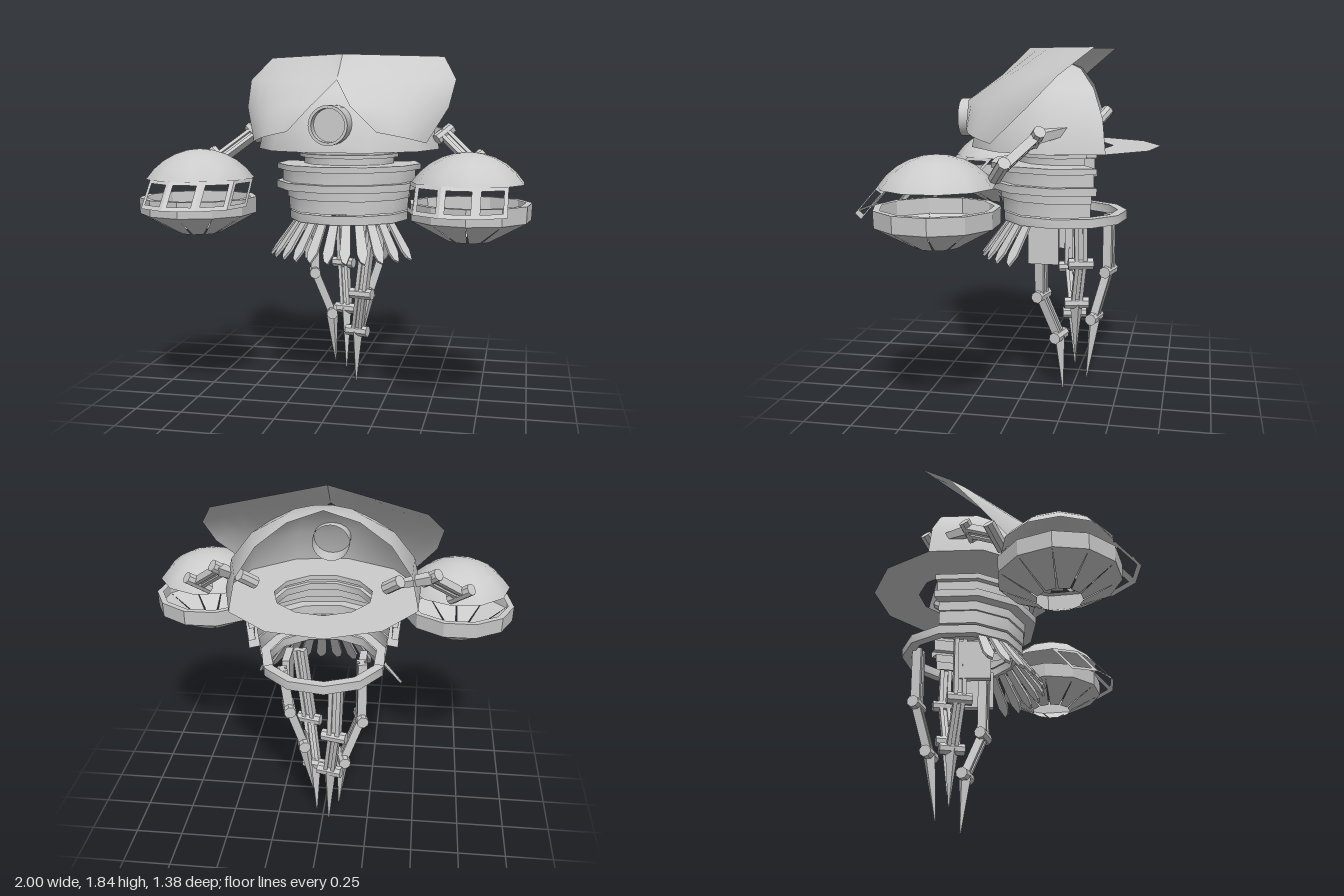
import * as THREE from 'three';
import { toCreasedNormals } from 'three/addons/utils/BufferGeometryUtils.js';

const SIDES = 11, STEP = (Math.PI * 2) / SIDES;
const BACK = -0.2; // z of the body axis
const OPEN_START = -1.885; // shell of 7 sides, open at the rear
const mat = new THREE.MeshStandardMaterial({ color: 0xcccccc, side: THREE.DoubleSide });
const flat = new THREE.MeshStandardMaterial({ color: 0xcccccc, side: THREE.DoubleSide, flatShading: true });
const V = (x, y, z) => new THREE.Vector3(x, y, z);

function add(parent, name, geo, material = mat) {
  const m = new THREE.Mesh(geo, material);
  m.name = name;
  parent.add(m);
  return m;
}

// Revolved profile of [radius, y] points
function lathe(profile, sides = SIDES, start = OPEN_START) {
  const pts = profile.map(p => new THREE.Vector2(p[0], p[1]));
  return toCreasedNormals(new THREE.LatheGeometry(pts, sides, start, sides * STEP), 0.7);
}

// Surface through rows of points, all rows of equal length
function loft(rows) {
  const n = rows[0].length, idx = [];
  for (let i = 0; i < rows.length - 1; i++)
    for (let j = 0; j < n - 1; j++) {
      const a = i * n + j;
      idx.push(a, a + n, a + 1, a + 1, a + n, a + n + 1);
    }
  const g = new THREE.BufferGeometry().setFromPoints(rows.flat());
  g.setIndex(idx);
  g.computeVertexNormals();
  return g;
}

// Places a y-aligned object between two points, its x side turned to the axis
function span(object, a, b, axis) {
  const y = b.clone().sub(a).normalize();
  const x = axis.clone().addScaledVector(y, -axis.dot(y)).normalize();
  object.quaternion.setFromRotationMatrix(new THREE.Matrix4().makeBasis(x, y, x.clone().cross(y)));
  object.position.copy(a).lerp(b, 0.5);
}

// Grooved bar: two rails joined by a thinner web
function bar(parent, name, a, b, axis, w = 0.065) {
  const g = new THREE.Group();
  g.name = name;
  for (const s of [-1, 0, 1])
    add(g, s ? 'rail' : 'web', new THREE.BoxGeometry(w * 0.34, a.distanceTo(b), w * (s ? 0.75 : 0.4)), flat).position.x = s * w * 0.33;
  span(g, a, b, axis);
  parent.add(g);
}

// Octagonal hinge pin
function joint(parent, p, axis, length = 0.13, r = 0.032) {
  const m = add(parent, 'joint', new THREE.CylinderGeometry(r, r, length, 8), flat);
  m.quaternion.setFromUnitVectors(V(0, 1, 0), axis.clone().normalize());
  m.position.copy(p);
}

function buildHead(root) {
  const head = new THREE.Group();
  head.name = 'head';
  root.add(head);
  const dome = [];
  for (let i = 0; i <= 4; i++) {
    const t = (i / 4) * Math.PI / 2;
    dome.push([0.5 * Math.cos(t), 1.335 + 0.435 * Math.sin(t)]);
  }
  add(head, 'dome', lathe(dome, 7)).position.z = BACK;
  add(head, 'domeFloor', lathe([[0.5, 1.335], [0.25, 1.335]])).position.z = BACK;

  // Two flared face plates meeting in a central seam
  const inner = [V(0, 1.84, -0.01), V(0, 1.7, 0.14), V(0.1, 1.57, 0.3), V(0.23, 1.44, 0.28)];
  const outer = [V(0.5, 1.84, -0.41), V(0.58, 1.71, -0.25), V(0.555, 1.56, -0.1), V(0.46, 1.38, 0.1)];
  for (const s of [-1, 1]) {
    const rows = inner.map((p, i) => Array.from({ length: 7 }, (_, j) => {
      const q = p.clone().lerp(outer[i], j / 6);
      const bulge = [0, 0.045, 0.05, 0.03][i] * Math.sin(Math.PI * j / 6);
      q.x = s * (q.x + bulge * 0.8);
      q.z += bulge;
      return q;
    }));
    add(head, s > 0 ? 'leftFacePlate' : 'rightFacePlate', loft(rows));
  }

  // Recessed eye tube
  const eye = add(head, 'eye', toCreasedNormals(new THREE.LatheGeometry(
    [[0.1, 0], [0.1, 0.21], [0.085, 0.21], [0.085, 0.15], [0, 0.15]].map(p => new THREE.Vector2(...p)), 24), 0.7));
  eye.rotation.x = Math.PI / 2;
  eye.position.set(0, 1.475, 0.15);
}

function buildNeck(root) {
  const neck = new THREE.Group();
  neck.name = 'neck';
  neck.position.z = BACK;
  root.add(neck);
  // Stepped shell, open at the rear
  add(neck, 'neckRings', lathe([
    [0.25, 1.335], [0.25, 1.31], [0.275, 1.31], [0.275, 1.29], [0.25, 1.29], [0.25, 1.255],
    [0.4, 1.255], [0.4, 1.225], [0.37, 1.225], [0.37, 1.16], [0.405, 1.16], [0.405, 1.12],
    [0.345, 1.12], [0.345, 1.07], [0.335, 1.07], [0.335, 1.0], [0.28, 1.0]], 7));
  add(neck, 'baseRing', lathe([[0.28, 0.945], [0.33, 0.945], [0.33, 0.992], [0.28, 0.992], [0.28, 0.945]]));
  for (const s of [-1, 1])
    add(neck, 'sideBlock', new THREE.BoxGeometry(0.04, 0.21, 0.16), flat).position.set(s * 0.2, 0.84, 0.08);

  // Fan of flat fingers below the ring
  const shape = new THREE.Shape([[-0.022, 0], [0.022, 0], [0.029, -0.2], [0.008, -0.262], [-0.016, -0.245], [-0.029, -0.2]]
    .map(p => new THREE.Vector2(...p)));
  const geo = new THREE.ExtrudeGeometry(shape, { depth: 0.014, bevelEnabled: false });
  for (let i = 0; i < 11; i++) {
    const turn = new THREE.Group();
    turn.name = 'skirtFinger';
    turn.rotation.y = (i - 5) * 0.22 - 0.08;
    const f = add(turn, 'finger', geo, flat);
    f.position.set(0, 0.96, 0.28);
    f.rotation.x = -0.64;
    neck.add(turn);
  }
}

function buildLegs(root) {
  const X = V(1, 0, 0.25), Z = V(0.25, 0, 1);
  // Top, upper joint, lower joint, tip, hinge axis
  const legs = [
    [V(0.14, 0.96, -0.09), V(0.09, 0.535, -0.09), V(0.05, 0.3, -0.18), V(0.04, 0, -0.2), X],
    [V(-0.2, 0.96, -0.2), V(-0.2, 0.63, -0.2), V(-0.11, 0.39, -0.24), V(-0.09, 0.1, -0.25), Z],
    [V(0.2, 0.96, -0.31), V(0.17, 0.735, -0.31), V(0.1, 0.505, -0.28), V(0.05, 0.2, -0.27), Z],
    [V(-0.09, 0.96, -0.43), V(-0.08, 0.645, -0.43), V(-0.05, 0.385, -0.36), V(-0.04, 0.04, -0.32), X],
  ];
  for (const [top, knee, ankle, tip, axis] of legs) {
    const leg = new THREE.Group();
    leg.name = 'leg';
    root.add(leg);
    bar(leg, 'upperLeg', top, knee, axis);
    bar(leg, 'lowerLeg', knee, ankle, axis, 0.058);
    joint(leg, knee, axis);
    joint(leg, ankle, axis);
    const claw = add(leg, 'claw', new THREE.CylinderGeometry(0.004, 0.036, ankle.distanceTo(tip), 4), flat);
    span(claw, ankle, tip, axis.clone().add(V(0.5, 0, 0.5)));
  }
}

// Window panel frame from four corners
function frame(corners) {
  const mid = corners.reduce((s, c) => s.add(c), V(0, 0, 0)).multiplyScalar(0.25);
  const hole = corners.map(c => c.clone().lerp(mid, 0.28));
  return loft([[...corners, corners[0]], [...hole, hole[0]]]);
}

function buildPod(root, s) {
  const pod = new THREE.Group();
  pod.name = s > 0 ? 'leftPod' : 'rightPod';
  pod.position.set(s * 0.7, 0, 0.3);
  root.add(pod);
  add(pod, 'podRim', lathe([[0.3, 1.022], [0.303, 1.105], [0.27, 1.105]], SIDES, 0), flat);
  // Tapered underside panels, parting slightly towards the bottom
  for (let i = 0; i < SIDES; i++) {
    const at = (k, r, y) => V(r * Math.sin(k * STEP), y, r * Math.cos(k * STEP));
    add(pod, 'podPanel', loft([
      [at(i, 0.3, 1.022), at(i + 1, 0.3, 1.022)],
      [at(i + 0.07, 0.11, 0.917), at(i + 0.93, 0.11, 0.917)]]), flat);
  }
  const cap = new THREE.SphereGeometry(0.336, SIDES, 5, 0, Math.PI * 2, 0, 0.985);
  add(pod, 'podDome', cap).position.set(-s * 0.01, 1.015, 0);

  // Visor of four windows leaning forward
  for (let i = 0; i < 4; i++) {
    const at = (k, y, dz) => {
      const a = -0.86 + k * 0.61;
      return V(-s * (0.02 + 0.275 * Math.sin(a)), y, 0.275 * Math.cos(a) + dz);
    };
    add(pod, 'podWindow', frame([at(i, 1.205, 0), at(i + 1, 1.205, 0), at(i + 1, 1.07, 0.12), at(i, 1.07, 0.12)]), flat);
  }

  // Arm from the head to the pod
  const shoulder = V(s * 0.35, 1.47, -0.36), elbow = V(s * 0.53, 1.42, -0.14), wrist = V(s * 0.69, 1.28, 0);
  const axis = V(-s * 0.12, -0.1, 0.08);
  const arm = new THREE.Group();
  arm.name = s > 0 ? 'leftArm' : 'rightArm';
  root.add(arm);
  const upper = add(arm, 'upperArm', new THREE.CylinderGeometry(0.035, 0.02, shoulder.distanceTo(elbow), 4), flat);
  span(upper, shoulder, elbow, axis);
  bar(arm, 'forearm', elbow, wrist, axis, 0.06);
  joint(arm, shoulder, axis, 0.1);
  joint(arm, elbow, axis, 0.11);
  joint(arm, wrist, axis, 0.15);
}

export function createModel() {
  const root = new THREE.Group();
  root.name = 'walkerRobot';
  buildHead(root);
  buildNeck(root);
  buildLegs(root);
  for (const s of [-1, 1]) buildPod(root, s);
  return root;
}
